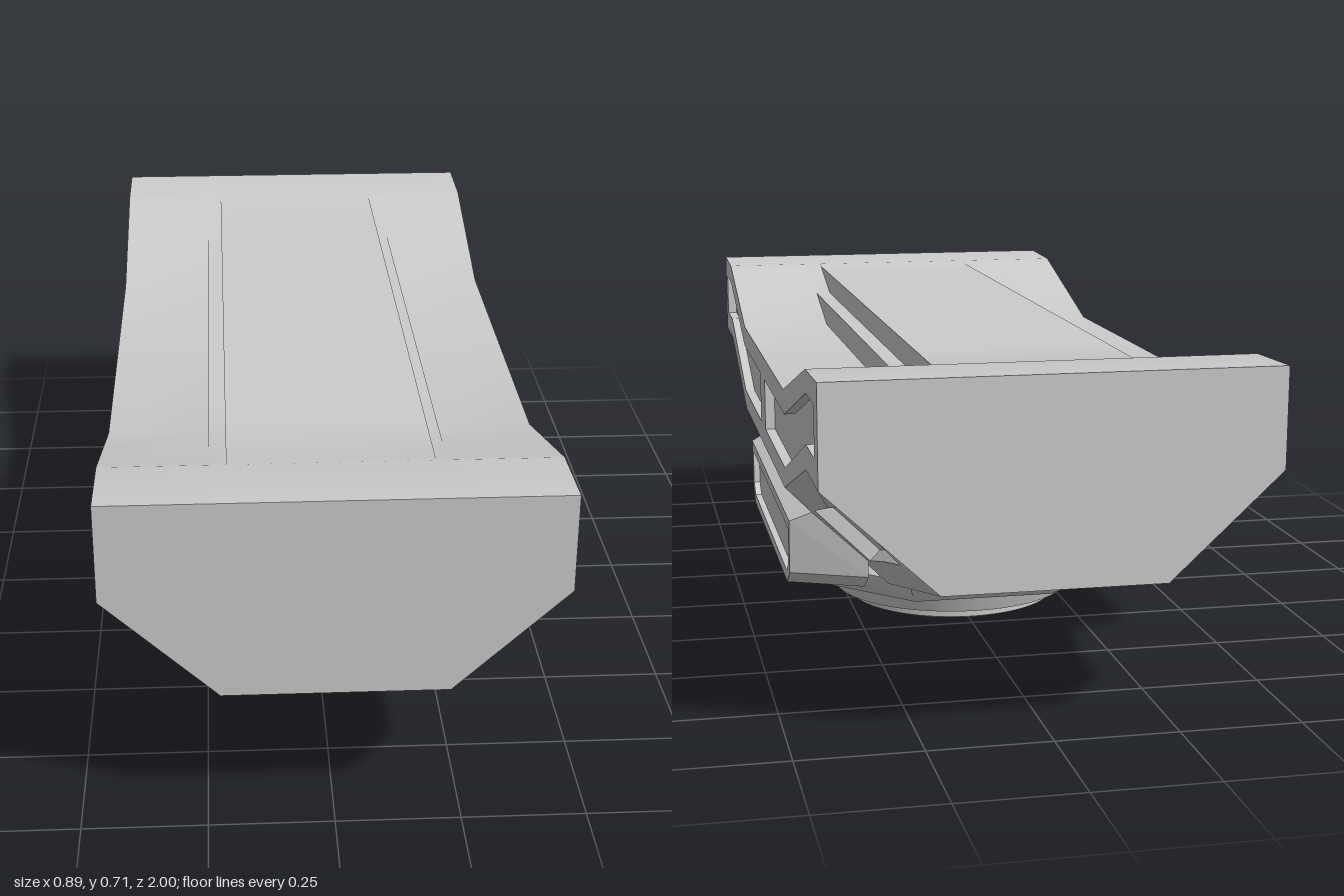
import * as THREE from 'three';
import { toCreasedNormals } from 'three/addons/utils/BufferGeometryUtils.js';

const material = new THREE.MeshStandardMaterial({ color: 0xcccccc });

function addMesh(parent, name, geometry) {
  const mesh = new THREE.Mesh(geometry, material);
  mesh.name = name;
  parent.add(mesh);
}

function facesToGeometry(quads) {
  const pos = [];
  for (const [a, b, c, d] of quads) pos.push(...a, ...b, ...c, ...a, ...c, ...d);
  const g = new THREE.BufferGeometry();
  g.setAttribute('position', new THREE.Float32BufferAttribute(pos, 3));
  g.computeVertexNormals();
  return g;
}

// Joins matching loops in turn, then closes the last one; "out" is the side it faces
function shell(loops, out) {
  const last = loops[loops.length - 1], n = last.length;
  const area = new THREE.Vector3();
  last.forEach((p, i) => area.add(new THREE.Vector3(...p).cross(new THREE.Vector3(...last[(i + 1) % n]))));
  const L = area.dot(new THREE.Vector3(...out)) < 0 ? loops.map(l => [...l].reverse()) : loops;
  const quads = [];
  for (let k = 0; k + 1 < L.length; k++)
    for (let i = 0; i < n; i++) {
      const j = (i + 1) % n;
      quads.push([L[k][i], L[k][j], L[k + 1][j], L[k + 1][i]]);
    }
  const cap = L[L.length - 1];
  for (let i = 0; i < n / 2 - 1; i++) quads.push([cap[i], cap[i + 1], cap[n - 2 - i], cap[n - 1 - i]]);
  return facesToGeometry(quads);
}

const shift = (loop, d) => loop.map(p => p.map((v, i) => v + d[i]));

// Piecewise linear height along z
function along(table, z) {
  z = Math.abs(z);
  for (let i = 0; i + 1 < table.length; i++) {
    const [z0, y0] = table[i], [z1, y1] = table[i + 1];
    if (z <= z1) return y0 + (y1 - y0) * (z - z0) / (z1 - z0);
  }
  return table[table.length - 1][1];
}

const W = 0.445, K = 0.22;
const deckEdge = [[0, 0.595], [0.44, 0.595], [0.83, 0.705], [1, 0.71]];
const sideFoot = [[0, 0.385], [0.44, 0.385], [0.82, 0.51], [1, 0.51]];
const keel = [[0, 0.15], [0.4, 0.15], [1, 0.3]];

// Point on the sloped lower flank: f = 0 at the keel edge, 1 at the side wall
const flank = (z, f) => [K + (W - K) * f, along(keel, z) * (1 - f) + along(sideFoot, z) * f, z];

// Deck with a two-step raised spine
function deck() {
  const zs = [-1, -0.83, -0.81, -0.635, -0.44, 0, 0.44, 0.635, 0.81, 0.83, 1];
  const rows = zs.map(z => {
    const e = along(deckEdge, z);
    const mid = Math.max(e, 0.65), top = Math.max(e, 0.7);
    const half = [[W, e], [0.235, e], [0.235, mid], [0.2, mid], [0.2, top]];
    const full = [...half, ...half.map(([x, y]) => [-x, y]).reverse()];
    return full.map(([x, y]) => [x, y, z]);
  });
  const quads = [];
  for (let k = 0; k + 1 < rows.length; k++)
    for (let i = 0; i + 1 < rows[k].length; i++)
      quads.push([rows[k][i], rows[k][i + 1], rows[k + 1][i + 1], rows[k + 1][i]]);
  return toCreasedNormals(facesToGeometry(quads), 0.4);
}

export function createModel() {
  const model = new THREE.Group();
  model.name = 'hullModule';
  addMesh(model, 'deck', deck());

  for (const sz of [1, -1]) {
    // End wall
    const end = [[-W, 0.71], [W, 0.71], [W, 0.51], [K, 0.3], [-K, 0.3], [-W, 0.51]];
    addMesh(model, 'endWall', shell([end.map(([x, y]) => [x, y, sz])], [0, 0, sz]));

    // Sloped underside with a long recess
    const under = (x, z) => [x, along(keel, z), z * sz];
    const rect = (x, z0, z1) => [under(-x, z0), under(x, z0), under(x, z1), under(-x, z1)];
    const slot = rect(0.125, 0.45, 0.91);
    addMesh(model, 'underside', shell([rect(K, 0.4, 1), slot, shift(rect(0.118, 0.46, 0.9), [0, 0.035, 0])], [0, -1, 0]));

    for (const sx of [1, -1]) {
      const mirror = loop => loop.map(([x, y, z]) => [x * sx, y, z * sz]);

      // Upright side wall with a bent recessed window
      const wall = [[1, 0.71], [0.83, 0.705], [0.44, 0.595], [0, 0.595], [0, 0.385], [0.44, 0.385], [0.82, 0.51], [1, 0.51]];
      const pane = [[0.95, 0.66], [0.835, 0.66], [0.455, 0.545], [0.05, 0.545], [0.05, 0.43], [0.45, 0.43], [0.825, 0.56], [0.95, 0.56]];
      const onSide = pts => mirror(pts.map(([z, y]) => [W, y, z]));
      addMesh(model, 'sideWall', shell([onSide(wall), onSide(pane), shift(onSide(pane), [-0.022 * sx, 0, 0])], [sx, 0, 0]));

      // Sloped flank with a recessed window, then its plain middle part
      const onFlank = pts => mirror(pts.map(([z, f]) => flank(z, f)));
      const frame = onFlank([[1, 1], [0.82, 1], [0.44, 1], [0.4, 0], [0.82, 0], [1, 0]]);
      const hole = onFlank([[0.83, 0.71], [0.66, 0.73], [0.49, 0.75], [0.51, 0.25], [0.7, 0.25], [0.88, 0.25]]);
      const out = [sx, -1, 0];
      addMesh(model, 'flank', shell([frame, hole, shift(hole, [-0.022 * sx, 0.022, 0])], out));
      addMesh(model, 'flankMiddle', shell([onFlank([[0.44, 1], [0, 1], [0, 0], [0.4, 0]])], out));
    }
  }

  // Side pods: tapered blocks with a recessed outer face
  for (const sx of [1, -1]) {
    const outline = (x, zTop, zLow, zFoot, top, low, foot) =>
      [[-zTop, top], [zTop, top], [zLow, low], [zFoot, foot], [-zFoot, foot], [-zLow, low]].map(([z, y]) => [x * sx, y, z]);
    const root = outline(0.275, 0.48, 0.48, 0.43, 0.38, 0.19, 0.155);
    const rim = outline(0.435, 0.415, 0.41, 0.36, 0.305, 0.19, 0.155);
    const pane = outline(0.435, 0.39, 0.385, 0.35, 0.283, 0.203, 0.178);
    addMesh(model, 'sidePod', shell([root, rim, pane, shift(pane, [-0.015 * sx, 0, 0])], [sx, 0, 0]));
  }

  // Faceted collar and round mount below
  const lathe = (pts, sides, start = 0) =>
    toCreasedNormals(new THREE.LatheGeometry(pts.map(p => new THREE.Vector2(...p)), sides, start), 0.5);
  const c = 1 / Math.cos(Math.PI / 8);
  addMesh(model, 'collar', lathe([[0, 0.097], [0.375 * c, 0.097], [0.41 * c, 0.13], [0.42 * c, 0.155], [0.3 * c, 0.26]], 8, Math.PI / 8));
  addMesh(model, 'mountRing', lathe([[0, 0.037], [0.28, 0.037], [0.303, 0.1]], 48));
  addMesh(model, 'mountDisc', lathe([[0, 0], [0.21, 0], [0.243, 0.013], [0.243, 0.04]], 48));
  return model;
}
